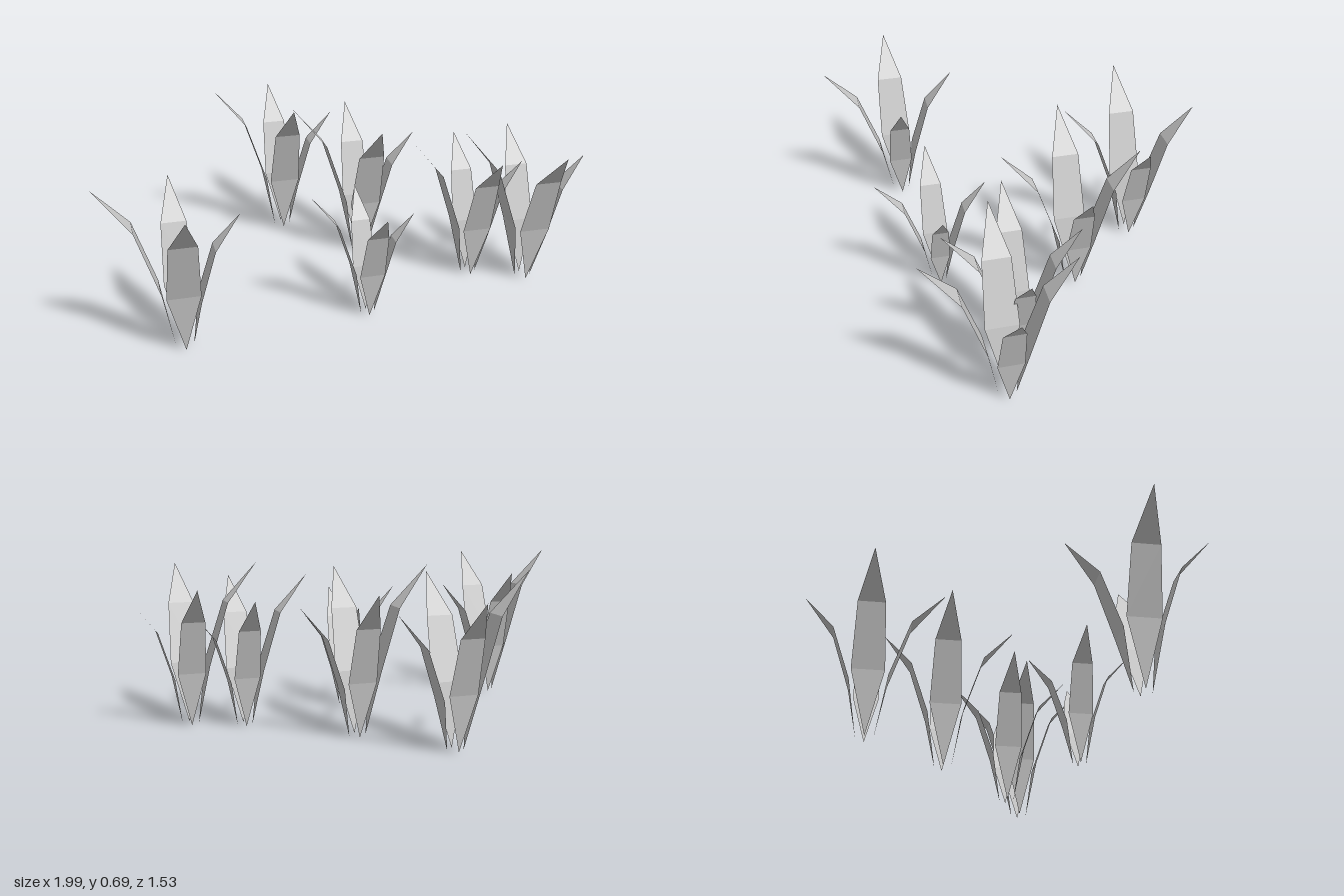
import * as THREE from 'three';

const material = new THREE.MeshStandardMaterial({
  color: 0xcccccc, flatShading: true, side: THREE.DoubleSide,
});

// Blade cross-sections from tip to base: height, outward reach, half width
const ROWS = [
  [0.675, 0.265, 0],
  [0.512, 0.13, 0.055],
  [0.258, 0.048, 0.066],
  [0, 0.004, 0],
];

// Yaw, size and outward reach of the four blades in a tuft
const BLADES = [
  { name: 'frontBlade', yaw: 0, size: 0.965, reach: 1.04 },
  { name: 'leftBlade', yaw: Math.PI / 2, size: 0.78, reach: 0.76 },
  { name: 'backBlade', yaw: Math.PI, size: 0.88, reach: 0.88 },
  { name: 'rightBlade', yaw: -Math.PI / 2, size: 1, reach: 1 },
];

// Tuft positions and scales: x, z, scale
const TUFTS = [
  [-0.137, -0.503, 1.015],
  [0.155, -0.173, 1.015],
  [0.55, 0.152, 0.93],
  [0.765, 0.24, 1.005],
  [0.04, 0.385, 0.79],
  [-0.695, 0.459, 1],
];

// A thin folded strip, pointed at both ends, curling out towards +z
function bladeGeometry(size, reach) {
  const geometry = new THREE.PlaneGeometry(2, 1, 1, ROWS.length - 1);
  const p = geometry.attributes.position;
  for (let i = 0; i < p.count; i++) {
    const [y, out, half] = ROWS[Math.floor(i / 2)];
    p.setXYZ(i, p.getX(i) * half * size, y * size, 0.03 + out * reach);
  }
  geometry.computeVertexNormals();
  return geometry;
}

export function createModel() {
  const model = new THREE.Group();
  model.name = 'grassPatch';
  const shapes = BLADES.map((b) => bladeGeometry(b.size, b.reach));

  TUFTS.forEach(([x, z, scale], i) => {
    const tuft = new THREE.Group();
    tuft.name = `grassTuft${i + 1}`;
    BLADES.forEach((b, k) => {
      const blade = new THREE.Mesh(shapes[k], material);
      blade.name = b.name;
      blade.rotation.y = b.yaw;
      tuft.add(blade);
    });
    tuft.position.set(x, 0, z);
    tuft.rotation.y = 0.018;
    tuft.scale.setScalar(scale);
    model.add(tuft);
  });
  return model;
}
